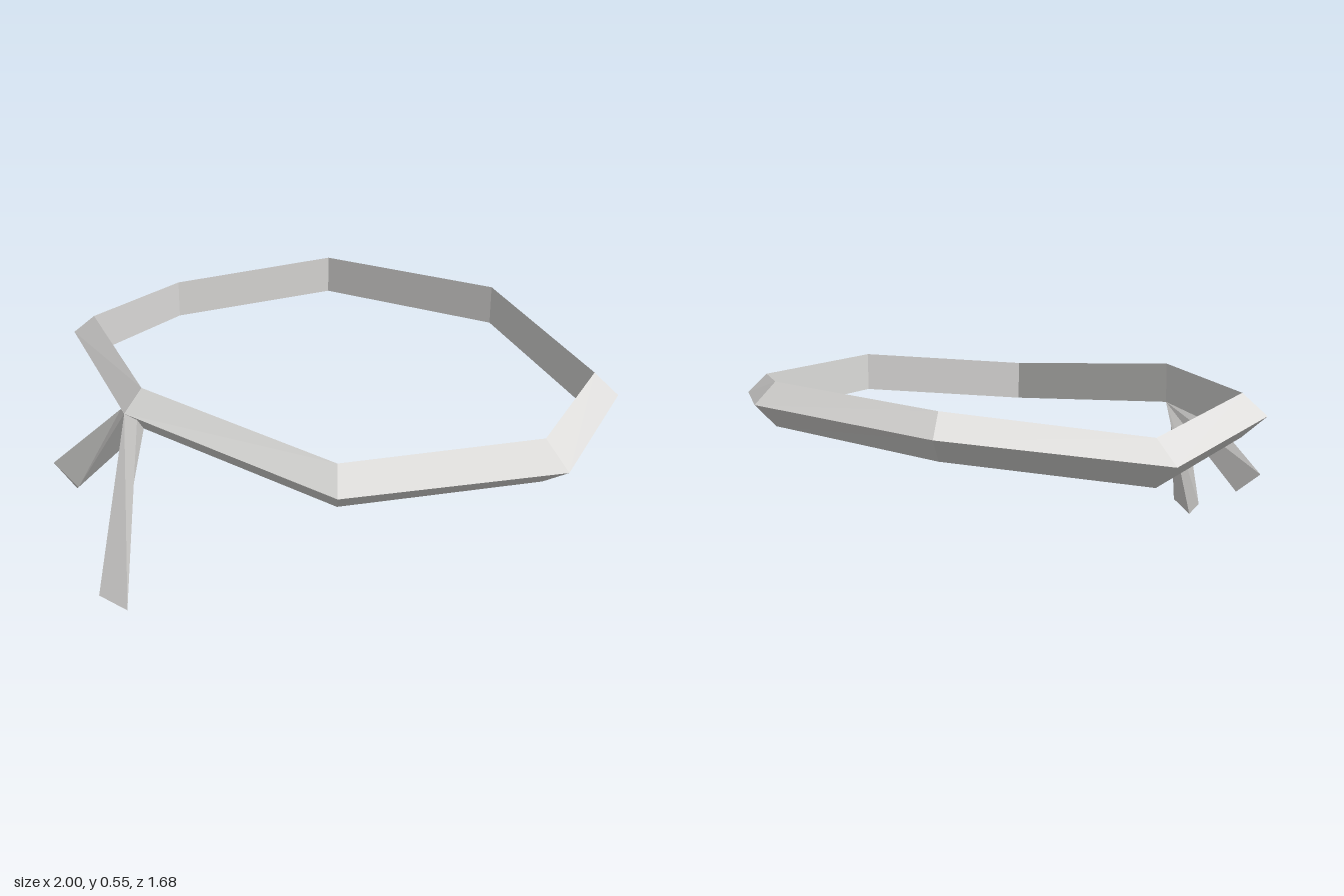
import * as THREE from 'three';

// Joins triangular cross-sections in order; a loop closes on itself, otherwise both ends are capped.
function loft(sections, closed) {
  const pos = [];
  const tri = (a, b, c) => pos.push(...a, ...b, ...c);
  const n = sections.length;
  for (let i = 0; i < (closed ? n : n - 1); i++) {
    const s = sections[i], e = sections[(i + 1) % n];
    for (let j = 0; j < 3; j++) {
      const k = (j + 1) % 3;
      tri(s[j], e[j], e[k]);
      tri(s[j], e[k], s[k]);
    }
  }
  if (!closed) {
    const [a, b, c] = sections[0], [d, e, f] = sections[n - 1];
    tri(a, b, c);
    tri(d, f, e);
  }
  const geometry = new THREE.BufferGeometry();
  geometry.setAttribute('position', new THREE.Float32BufferAttribute(pos, 3));
  geometry.computeVertexNormals();
  return geometry;
}

export function createModel() {
  const group = new THREE.Group();
  const cloth = new THREE.MeshStandardMaterial({ color: 0xdedddb, flatShading: true });
  cloth.name = 'off-white cloth';

  const add = (name, geometry) => {
    const mesh = new THREE.Mesh(geometry, cloth);
    mesh.name = name;
    group.add(mesh);
  };

  // Headband: eight corners as outer x, outer z, inner x, inner z, mid height
  const corners = [
    [0, 0.645, 0, 0.585, 0.494],
    [0.705, 0.43, 0.645, 0.385, 0.461],
    [1, -0.1, 0.91, -0.1, 0.494],
    [0.705, -0.625, 0.645, -0.58, 0.461],
    [0, -0.84, 0, -0.777, 0.494],
    [-0.705, -0.625, -0.645, -0.58, 0.461],
    [-1, -0.1, -0.91, -0.1, 0.393],
    [-0.705, 0.43, -0.645, 0.385, 0.461],
  ];
  const h = 0.064;
  add('headband', loft(corners.map(([ox, oz, ix, iz, y]) =>
    [[ox, y, oz], [ix, y + h, iz], [ix, y - h, iz]]), true));

  // Two loose tails hanging from the knot at the front
  const front = [0, 0.494, 0.645], under = [0, 0.43, 0.585];
  add('leftTail', loft([
    [front, [0.045, 0.488, 0.63], under],
    [[0.145, 0.038, 0.84], [0.26, 0.04, 0.815], [0.15, 0.004, 0.803]],
  ], false));
  add('rightTail', loft([
    [front, under, [-0.045, 0.488, 0.63]],
    [[-0.205, 0.187, 0.705], [-0.255, 0.155, 0.685], [-0.335, 0.22, 0.718]],
  ], false));

  return group;
}
